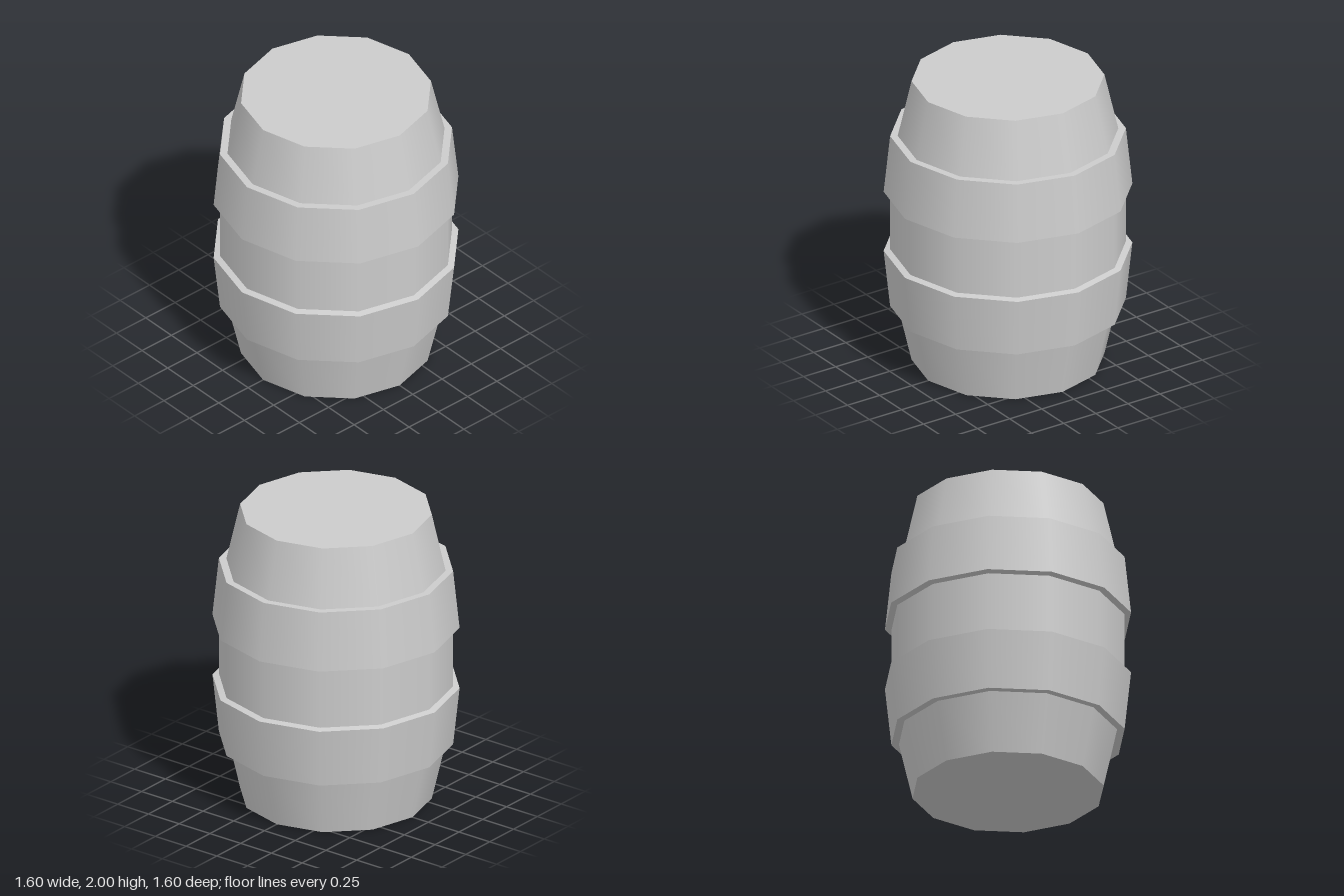
import * as THREE from 'three';

const SIDES = 12;
const material = new THREE.MeshStandardMaterial({ color: 0xcccccc });

// Turns each span of a [radius, y] profile into its own band:
// smooth around the barrel, sharp from one band to the next.
function turned(name, profile) {
  const part = new THREE.Group();
  part.name = name;
  for (let i = 0; i < profile.length - 1; i++) {
    const span = [profile[i], profile[i + 1]].map(([r, y]) => new THREE.Vector2(r, y));
    const band = new THREE.Mesh(new THREE.LatheGeometry(span, SIDES), material);
    band.name = `${name}Band${i + 1}`;
    part.add(band);
  }
  return part;
}

// Flat lid; facing +1 looks up, -1 looks down
function lid(name, radius, y, facing) {
  const mesh = new THREE.Mesh(new THREE.CircleGeometry(radius, SIDES), material);
  mesh.name = name;
  mesh.rotation.x = -facing * Math.PI / 2;
  mesh.position.y = y;
  return mesh;
}

export function createModel() {
  const barrel = new THREE.Group();
  barrel.name = 'barrel';

  // Profiles of the lower half, from the bottom up
  const endStaves = [[0.622, 0], [0.711, 0.39]];
  const hoop = [[0.711, 0.39], [0.76, 0.39], [0.802, 0.788], [0.76, 0.798]];
  // The upper half mirrors the lower one about y = 1
  const mirrored = (profile) => profile.map(([r, y]) => [r, 2 - y]).reverse();

  barrel.add(
    lid('bottomLid', 0.622, 0, -1),
    turned('lowerStaves', endStaves),
    turned('lowerHoop', hoop),
    turned('middleStaves', [[0.76, 0.798], [0.76, 1.202]]),
    turned('upperHoop', mirrored(hoop)),
    turned('upperStaves', mirrored(endStaves)),
    lid('topLid', 0.622, 2, 1),
  );
  return barrel;
}
